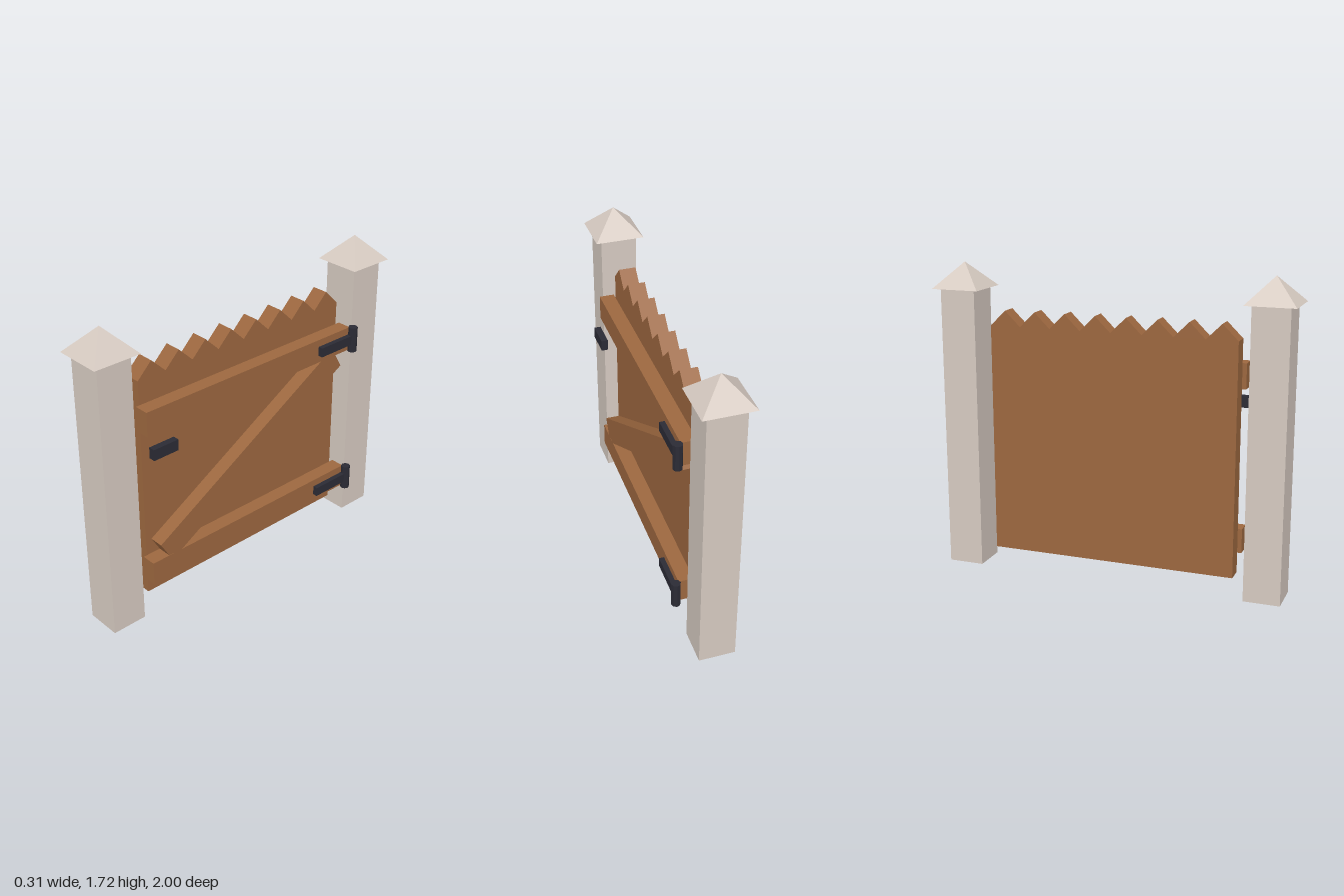
import * as THREE from 'three';

const material = (color) => new THREE.MeshStandardMaterial({ color, flatShading: true });

export function createModel() {
  const gate = new THREE.Group();
  gate.name = 'gate';
  const stone = material(0xd6cac1);
  const wood = material(0x9c673f);
  const iron = material(0x2b2b35);

  const add = (name, geometry, mat, x, y, z) => {
    const mesh = new THREE.Mesh(geometry, mat);
    mesh.name = name;
    mesh.position.set(x, y, z);
    gate.add(mesh);
    return mesh;
  };
  // Box given by its limits on each axis
  const box = (name, mat, [x0, x1], [y0, y1], [z0, z1]) =>
    add(name, new THREE.BoxGeometry(x1 - x0, y1 - y0, z1 - z0), mat,
      (x0 + x1) / 2, (y0 + y1) / 2, (z0 + z1) / 2);

  // Posts with pyramid caps
  for (const side of [-1, 1]) {
    const z = side * 0.865;
    box('post', stone, [-0.12, 0.08], [0, 1.575], [z - 0.1, z + 0.1]);
    const cap = new THREE.ConeGeometry(0.135 * Math.SQRT2, 0.14, 4, 1).rotateY(Math.PI / 4);
    add('postCap', cap, stone, -0.02, 1.645, z);
  }

  // Gate panel with a zigzag top of eight points
  const half = 0.693, points = 8, step = (2 * half) / points;
  const outline = new THREE.Shape();
  outline.moveTo(-half, 0.1);
  outline.lineTo(half, 0.1);
  outline.lineTo(half, 1.38);
  for (let i = 0; i < points; i++) {
    outline.lineTo(half - (i + 0.5) * step, 1.465);
    outline.lineTo(half - (i + 1) * step, 1.38);
  }
  const panel = new THREE.ExtrudeGeometry(outline, { depth: 0.094, bevelEnabled: false });
  add('panel', panel.rotateY(Math.PI / 2), wood, -0.069, 0, 0);

  // Cross rails and the diagonal brace between them
  box('lowerRail', wood, [0.03, 0.112], [0.21, 0.345], [-0.715, 0.715]);
  box('upperRail', wood, [0.03, 0.112], [1.112, 1.25], [-0.715, 0.715]);
  const brace = add('brace', new THREE.BoxGeometry(0.081, 0.148, 1.438), wood, 0.071, 0.734, 0.002);
  brace.rotation.x = 0.529;

  // Hinges: a strap on the rail and an upright knuckle
  for (const y of [0.275, 1.182]) {
    box('hingeStrap', iron, [0.11, 0.14], [y - 0.027, y + 0.027], [-0.71, -0.473]);
    add('hingeKnuckle', new THREE.CylinderGeometry(0.026, 0.026, 0.147, 8), iron, 0.129, y, -0.725);
  }

  // Latch
  box('latch', iron, [0.115, 0.152], [0.993, 1.055], [0.555, 0.71]);

  return gate;
}
